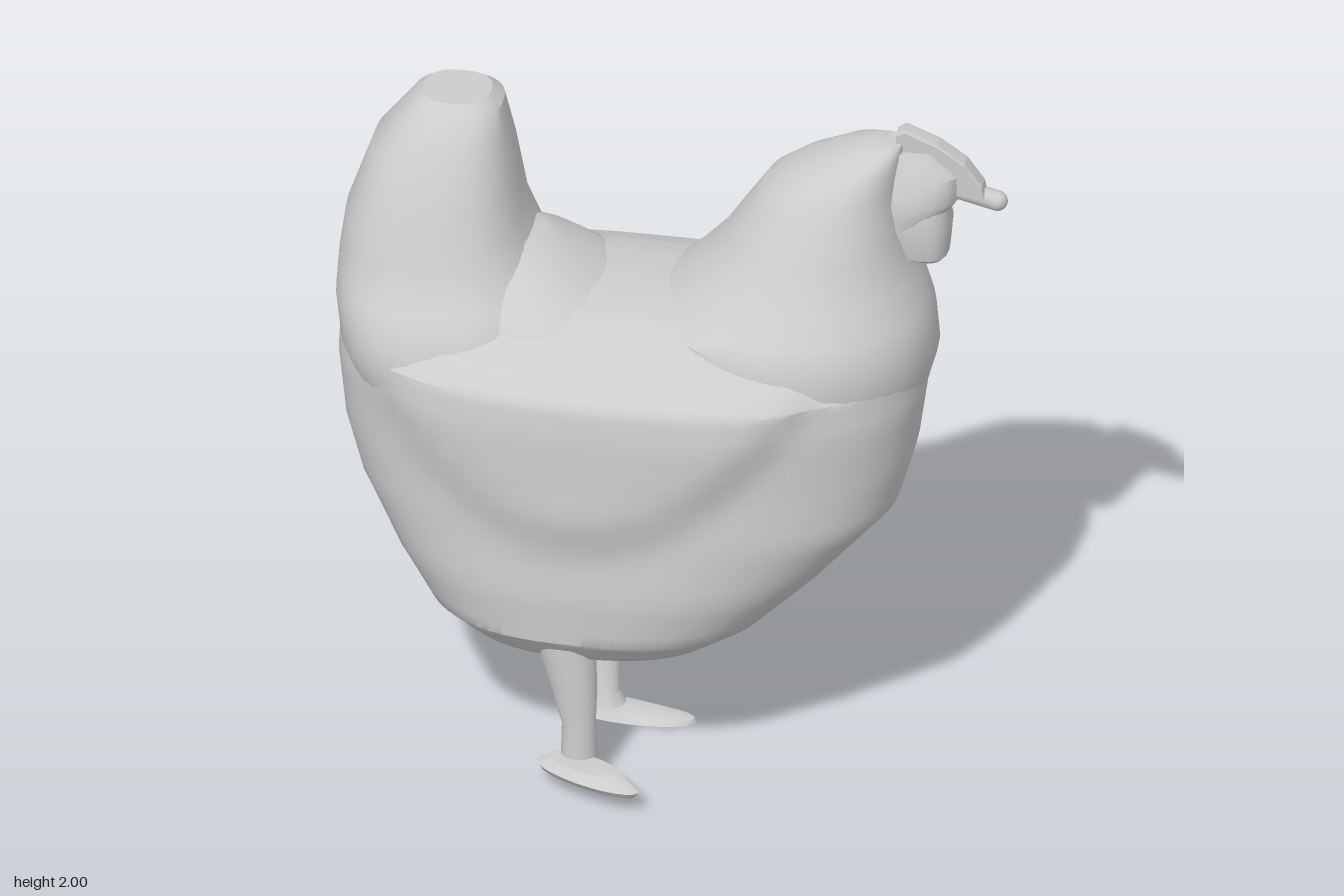
import * as THREE from 'three';
import { toCreasedNormals } from 'three/addons/utils/BufferGeometryUtils.js';

const YAW = 0.49; // the hen's forward direction, turned from +x towards +z
const C = Math.cos(YAW), S = Math.sin(YAW);
const material = new THREE.MeshStandardMaterial({ color: 0xcccccc });

function add(group, name, geometry) {
  const mesh = new THREE.Mesh(geometry, material);
  mesh.name = name;
  group.add(mesh);
  return mesh;
}

// Horizontal rings [y, centre x, centre z, half length, half width], bottom to top.
// power > 2 makes the ring boxier; bulge(u, w, y) pushes it sideways.
function loft(rings, { sides = 36, steps = 1, power = 2, yaw = YAW, bulge = () => 0 } = {}) {
  const c = Math.cos(yaw), s = Math.sin(yaw);
  const fine = [];
  rings.forEach((ring, i) => {
    if (i === rings.length - 1) return fine.push(ring);
    for (let k = 0; k < steps; k++) fine.push(ring.map((v, n) => v + (rings[i + 1][n] - v) * k / steps));
  });
  const first = fine[0], last = fine[fine.length - 1];
  fine.unshift([first[0], first[1], first[2], 0.0005, 0.0005]);
  fine.push([last[0], last[1], last[2], 0.0005, 0.0005]);

  const round = v => Math.sign(v) * Math.abs(v) ** (2 / power);
  const positions = [], index = [];
  fine.forEach(([y, cx, cz, a, b], j) => {
    for (let i = 0; i < sides; i++) {
      const t = i / sides * Math.PI * 2;
      const u = a * round(Math.cos(t));
      const w = b * round(Math.sin(t)) + Math.sin(t) * bulge(u, Math.sin(t), y);
      positions.push(cx + u * c - w * s, y, cz + u * s + w * c);
      if (j === fine.length - 1) continue;
      const p = j * sides + i, q = j * sides + (i + 1) % sides;
      index.push(p, p + sides, q, q, p + sides, q + sides);
    }
  });
  const geometry = new THREE.BufferGeometry();
  geometry.setAttribute('position', new THREE.Float32BufferAttribute(positions, 3));
  geometry.setIndex(index);
  return toCreasedNormals(geometry, 0.6);
}

// Folded wings: softly raised panels with a curved lower edge, fuller on the right side
function wing(u, side, y) {
  const inside = THREE.MathUtils.smoothstep(y - 0.84 - 1.1 * (u + 0.1) ** 2, -0.1, 0.12);
  return inside * (1 - THREE.MathUtils.smoothstep(y, 1.28, 1.42)) * (side > 0 ? 0.05 : 0.005);
}

export function createModel() {
  const hen = new THREE.Group();
  hen.name = 'hen';

  add(hen, 'body', loft([
    [0.28, -0.07, -0.12, 0.11, 0.1],
    [0.35, -0.14, -0.04, 0.29, 0.28],
    [0.42, -0.185, 0.02, 0.41, 0.38],
    [0.5, -0.185, 0.045, 0.51, 0.42],
    [0.65, -0.15, 0.045, 0.64, 0.445],
    [0.85, -0.1, 0.035, 0.79, 0.455],
    [1.0, -0.095, 0.02, 0.835, 0.455],
    [1.2, -0.09, 0.015, 0.86, 0.455],
    [1.3, -0.09, 0.015, 0.855, 0.44],
    [1.36, -0.09, 0.01, 0.8, 0.4],
    [1.41, -0.09, 0, 0.68, 0.32],
    [1.45, -0.1, -0.01, 0.52, 0.22],
    [1.47, -0.1, -0.02, 0.4, 0.12],
  ], { sides: 64, steps: 4, power: 2.5, bulge: wing }));

  add(hen, 'neck', loft([
    [1.1, 0.33, 0.19, 0.38, 0.36],
    [1.3, 0.33, 0.2, 0.43, 0.4],
    [1.42, 0.33, 0.2, 0.42, 0.38],
    [1.5, 0.37, 0.2, 0.355, 0.34],
    [1.6, 0.4, 0.2, 0.285, 0.285],
    [1.7, 0.425, 0.2, 0.24, 0.245],
    [1.8, 0.455, 0.205, 0.2, 0.2],
    [1.86, 0.49, 0.225, 0.16, 0.16],
    [1.92, 0.55, 0.25, 0.1, 0.11],
    [1.955, 0.6, 0.27, 0.05, 0.05],
  ], { steps: 2, power: 2.1 }));

  add(hen, 'tail', loft([
    [1.1, -0.53, -0.2, 0.29, 0.33],
    [1.28, -0.56, -0.24, 0.315, 0.385],
    [1.4, -0.56, -0.26, 0.325, 0.365],
    [1.5, -0.57, -0.3, 0.295, 0.315],
    [1.62, -0.58, -0.325, 0.26, 0.28],
    [1.82, -0.555, -0.34, 0.205, 0.215],
    [1.96, -0.515, -0.335, 0.135, 0.135],
    [1.99, -0.515, -0.335, 0.1, 0.095],
  ], { sides: 40, steps: 2, power: 2.5 }));

  // Sloping feathers that fill the corner between the back and the tail
  add(hen, 'saddle', loft([
    [1.3, -0.3, -0.09, 0.32, 0.36],
    [1.42, -0.32, -0.12, 0.27, 0.3],
    [1.5, -0.38, -0.18, 0.2, 0.22],
    [1.57, -0.44, -0.23, 0.14, 0.12],
  ], { steps: 2, power: 2.2 }));

  // Head, face and beak
  add(hen, 'head', loft([
    [1.7, 0.64, 0.29, 0.1, 0.1],
    [1.78, 0.66, 0.305, 0.14, 0.1],
    [1.86, 0.67, 0.31, 0.13, 0.075],
    [1.93, 0.65, 0.295, 0.08, 0.045],
  ], { sides: 20, steps: 2 }));
  const beak = add(hen, 'beak', new THREE.CapsuleGeometry(0.03, 0.16, 6, 12));
  beak.position.set(0.82, 1.795, 0.375);
  beak.quaternion.setFromUnitVectors(new THREE.Vector3(0, 1, 0), new THREE.Vector3(C, -0.25, S).normalize());

  // Blade-like comb, drawn in profile along the hen's forward direction
  const profile = new THREE.Shape([
    [-0.06, 1.88], [-0.055, 1.98], [-0.035, 1.994], [0.06, 1.955], [0.14, 1.9], [0.19, 1.83], [0.2, 1.79], [0.1, 1.8],
  ].map(([x, y]) => new THREE.Vector2(x, y)));
  const comb = add(hen, 'comb', new THREE.ExtrudeGeometry(profile, {
    depth: 0.03, bevelEnabled: true, bevelSize: 0.005, bevelThickness: 0.014, bevelSegments: 2,
  }).translate(0, 0, -0.015));
  comb.position.set(0.68, 0, 0.302);
  comb.rotation.y = -YAW;

  add(hen, 'wattle', loft([
    [1.575, 0.7, 0.32, 0.05, 0.05],
    [1.6, 0.69, 0.315, 0.08, 0.085],
    [1.7, 0.675, 0.31, 0.105, 0.1],
    [1.76, 0.67, 0.305, 0.1, 0.09],
  ], { sides: 20, power: 2.8 }));

  // Standing leg and lifted leg
  add(hen, 'leftLeg', loft([
    [0.01, -0.16, -0.01, 0.06, 0.055],
    [0.06, -0.165, -0.025, 0.042, 0.042],
    [0.18, -0.16, -0.055, 0.052, 0.045],
    [0.32, -0.15, -0.11, 0.09, 0.08],
  ], { sides: 16 }));
  add(hen, 'leftFoot', loft([
    [0, -0.105, 0.045, 0.19, 0.06],
    [0.012, -0.105, 0.045, 0.185, 0.05],
    [0.025, -0.14, 0.02, 0.09, 0.045],
  ], { sides: 24, yaw: 0.55 }));
  add(hen, 'rightLeg', loft([
    [0.08, -0.365, 0.35, 0.055, 0.05],
    [0.2, -0.365, 0.345, 0.05, 0.045],
    [0.32, -0.375, 0.325, 0.07, 0.06],
    [0.46, -0.39, 0.29, 0.09, 0.08],
  ], { sides: 16 }));
  add(hen, 'rightFoot', loft([
    [0.055, -0.37, 0.445, 0.16, 0.04],
    [0.075, -0.37, 0.445, 0.175, 0.055],
    [0.1, -0.37, 0.42, 0.12, 0.045],
  ], { sides: 24, yaw: 0.9 }));

  return hen;
}
